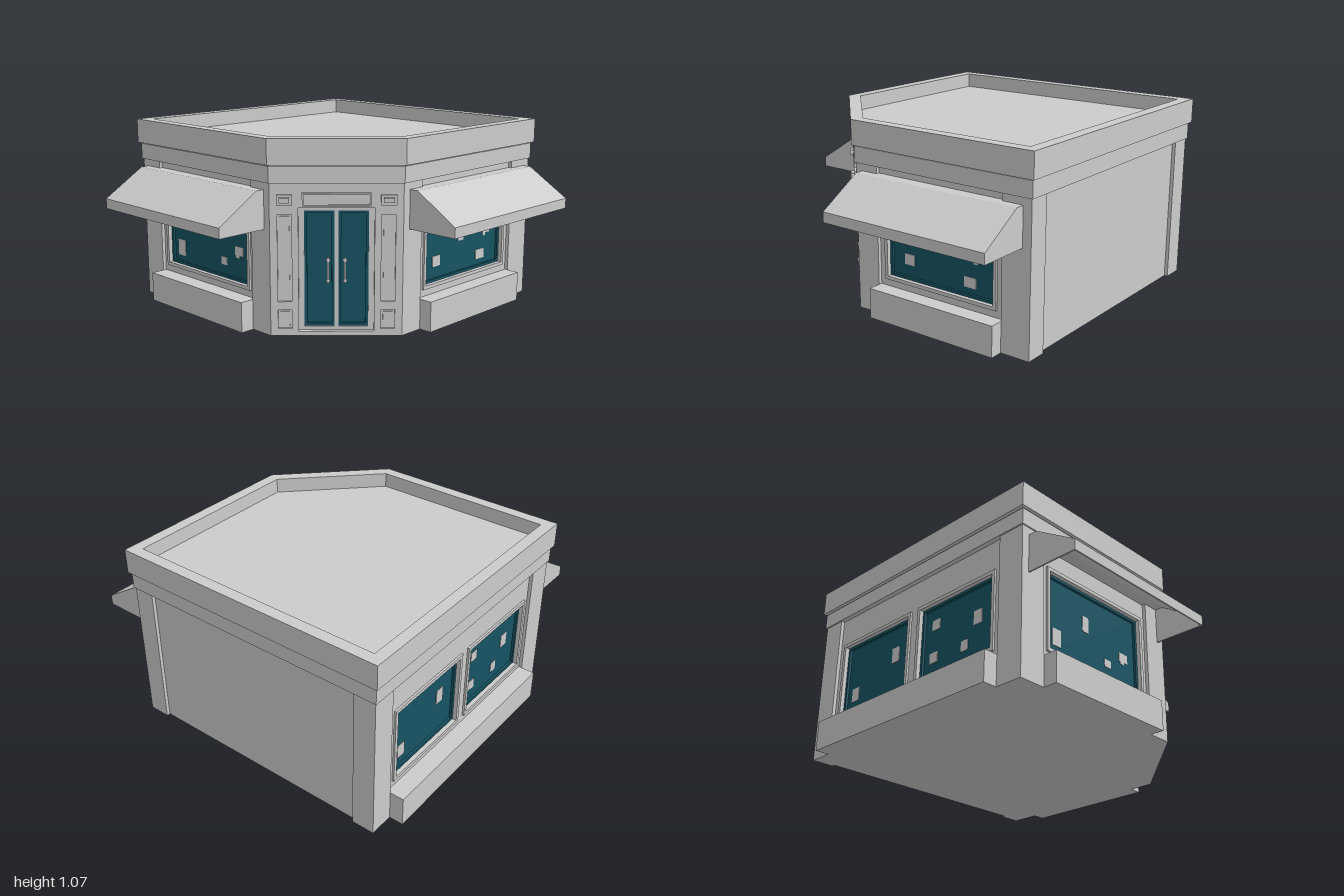
import * as THREE from 'three';

const grey = new THREE.MeshStandardMaterial({ color: 0xcccccc });
const greyThin = new THREE.MeshStandardMaterial({ color: 0xcccccc, side: THREE.DoubleSide });
const teal = new THREE.MeshStandardMaterial({ color: 0x165363 });

function add(parent, name, geometry, material = grey) {
  const mesh = new THREE.Mesh(geometry, material);
  mesh.name = name;
  parent.add(mesh);
  return mesh;
}

function group(parent, name, x = 0, z = 0, turn = 0) {
  const g = new THREE.Group();
  g.name = name;
  g.position.set(x, 0, z);
  g.rotation.y = turn;
  parent.add(g);
  return g;
}

// Facade space: u runs along the wall, y up, w outward from the wall face
function box(parent, name, [u0, u1, y0, y1], w0, w1, material) {
  const geo = new THREE.BoxGeometry(u1 - u0, y1 - y0, w1 - w0);
  geo.translate((u0 + u1) / 2, (y0 + y1) / 2, (w0 + w1) / 2);
  return add(parent, name, geo, material);
}

const rect = ([u0, u1, y0, y1]) =>
  [[u0, y0], [u1, y0], [u1, y1], [u0, y1]].map(p => new THREE.Vector2(...p));
const inset = ([u0, u1, y0, y1], t) => [u0 + t, u1 - t, y0 + t, y1 - t];

function plate(parent, name, outer, holes, w0, w1, material) {
  const shape = new THREE.Shape(rect(outer));
  holes.forEach(h => shape.holes.push(new THREE.Path(rect(h))));
  const geo = new THREE.ExtrudeGeometry(shape, { depth: w1 - w0, bevelEnabled: false });
  geo.translate(0, 0, w0);
  return add(parent, name, geo, material);
}

// Building outline with the cut-off entrance corner, grown by o
function outline(o) {
  const k = o * Math.tan(Math.PI / 8);
  return [
    [-0.92 - o, 0.67 + o], [0.2 + k, 0.67 + o], [0.695 + o, 0.175 + k],
    [0.695 + o, -0.955 - o], [-0.92 - o, -0.955 - o],
  ].map(([x, z]) => new THREE.Vector2(x, -z));
}

function storey(parent, name, o, y0, y1, holeOffset) {
  const shape = new THREE.Shape(outline(o));
  if (holeOffset !== undefined) shape.holes.push(new THREE.Path(outline(holeOffset)));
  const geo = new THREE.ExtrudeGeometry(shape, { depth: y1 - y0, bevelEnabled: false });
  geo.rotateX(-Math.PI / 2).translate(0, y0, 0);
  add(parent, name, geo);
}

// Glass with its coloured edge strip
function pane(parent, name, area) {
  box(parent, name + 'Glass', area, -0.058, -0.046, teal);
  plate(parent, name + 'Edge', area, [inset(area, 0.015)], -0.05, -0.032, teal);
}

function shopWindow(parent, area, posters) {
  plate(parent, 'windowFrame', inset(area, -0.02), [area], -0.058, -0.008);
  pane(parent, 'window', area);
  posters.forEach(p => box(parent, 'poster', p, -0.047, -0.043));
}

// Wall between two piers, with a recessed panel, windows and plinth
function wall(parent, u0, u1, r0, r1, windows, plinth) {
  box(parent, 'pier', [u0, r0, 0, 0.84], -0.07, 0);
  box(parent, 'pier', [r1, u1, 0, 0.84], -0.07, 0);
  plate(parent, 'wallPanel', [r0, r1, 0, 0.84], windows.map(w => w.area), -0.065, -0.02);
  windows.forEach(w => shopWindow(parent, w.area, w.posters));
  if (plinth) box(parent, 'plinth', [r0, r1, 0, 0.17], -0.03, plinth);
}

// Sloping canopy with a short valance and closed cheeks
function awning(parent, u0, u1) {
  const a = group(parent, 'awning');
  const sweep = (name, pts, from, to) => {
    const shape = new THREE.Shape(pts.map(p => new THREE.Vector2(...p)));
    const geo = new THREE.ExtrudeGeometry(shape, { depth: to - from, bevelEnabled: false });
    geo.rotateY(-Math.PI / 2).translate(to, 0, 0);
    add(a, name, geo, greyThin);
  };
  const top = [[-0.02, 0.79], [0.05, 0.79], [0.3, 0.635], [0.3, 0.577]];
  sweep('awningCanopy', [...top, [0.292, 0.577], [0.292, 0.628], [0.048, 0.78], [-0.02, 0.78]], u0, u1);
  for (const u of [u0, u1 - 0.008]) sweep('awningCheek', [...top, [-0.02, 0.577]], u, u + 0.008);
}

function handle(parent, u) {
  const h = group(parent, 'doorHandle', u, 0);
  const bar = new THREE.CylinderGeometry(0.006, 0.006, 0.14, 10);
  add(h, 'handleBar', bar.translate(0, 0.36, -0.012));
  for (const y of [0.305, 0.415]) {
    const mount = new THREE.CylinderGeometry(0.006, 0.006, 0.04, 8);
    add(h, 'handleMount', mount.rotateX(Math.PI / 2).translate(0, y, -0.03));
    const collar = new THREE.CylinderGeometry(0.01, 0.01, 0.016, 10);
    add(h, 'handleCollar', collar.translate(0, y, -0.012));
  }
}

function entrance(parent) {
  const half = 0.35;
  const opening = [-0.2, 0.2, 0.025, 0.7];
  const panels = [];
  for (const s of [-1, 1]) {
    const [a, b] = s < 0 ? [-0.31, -0.235] : [0.235, 0.31];
    panels.push([a, b, 0.04, 0.145], [a, b, 0.19, 0.665]);
    // Wall lamps above the side panels
    box(parent, 'lampBase', [a - 0.004, b + 0.004, 0.715, 0.77], -0.02, 0.01);
    box(parent, 'lampHood', [a + 0.01, b - 0.01, 0.73, 0.757], 0, 0.028);
  }
  plate(parent, 'entranceWall', [-half, half, 0, 0.84], [opening, ...panels], -0.07, 0);
  panels.forEach(p => {
    box(parent, 'sidePanel', p, -0.07, -0.014);
    box(parent, 'sidePanelField', inset(p, 0.012), -0.02, -0.008);
  });
  plate(parent, 'signFrame', [-0.18, 0.18, 0.708, 0.78], [[-0.172, 0.172, 0.716, 0.772]], -0.01, 0.01);

  // Double glazed doors
  const leaves = [[-0.17, -0.01, 0.045, 0.68], [0.01, 0.17, 0.045, 0.68]];
  plate(parent, 'doorFrame', opening, leaves, -0.065, -0.026);
  leaves.forEach(l => pane(parent, 'door', l));
  handle(parent, -0.045);
  handle(parent, 0.045);
}

export function createModel() {
  const model = new THREE.Group();
  model.name = 'cornerShop';

  // Core, fascia, flat roof and parapet
  storey(model, 'core', -0.06, 0, 0.84);
  storey(model, 'fascia', 0.008, 0.83, 0.92);
  storey(model, 'roof', 0, 0.9, 0.98);
  storey(model, 'parapet', 0.022, 0.926, 1.065, -0.045);

  const front = group(model, 'frontWall', 0, 0.67);
  wall(front, -0.92, 0.2, -0.765, 0.055, [{
    area: [-0.71, 0.002, 0.23, 0.66],
    posters: [[-0.66, -0.595, 0.28, 0.375], [-0.43, -0.385, 0.44, 0.53], [-0.26, -0.21, 0.3, 0.345],
      [-0.14, -0.07, 0.375, 0.425], [-0.13, -0.1, 0.36, 0.38]],
  }], 0.08);
  awning(front, -0.875, 0.158);

  const right = group(model, 'sideWallWithAwning', 0.695, 0, Math.PI / 2);
  wall(right, -0.175, 0.955, -0.028, 0.785, [{
    area: [0.03, 0.727, 0.23, 0.66],
    posters: [[0.123, 0.19, 0.31, 0.37], [0.35, 0.4, 0.42, 0.46], [0.52, 0.598, 0.278, 0.335],
      [0.592, 0.643, 0.425, 0.5], [0.58, 0.605, 0.41, 0.445]],
  }], 0.075);
  awning(right, -0.128, 0.905);

  const left = group(model, 'sideWallWithTwoWindows', -0.92, 0, -Math.PI / 2);
  wall(left, -0.955, 0.67, -0.815, 0.51, [{
    area: [-0.755, -0.2, 0.23, 0.64],
    posters: [[-0.7, -0.64, 0.29, 0.37], [-0.36, -0.3, 0.42, 0.51]],
  }, {
    area: [-0.1, 0.45, 0.23, 0.64],
    posters: [[-0.04, 0.02, 0.31, 0.37], [-0.03, 0.03, 0.5, 0.56], [0.2, 0.25, 0.3, 0.36],
      [0.29, 0.35, 0.42, 0.5]],
  }], 0.08);

  const back = group(model, 'backWall', 0, -0.955, Math.PI);
  wall(back, -0.695, 0.92, -0.57, 0.79, []);

  const corner = group(model, 'entrance', 0.4475, 0.4225, Math.PI / 4);
  entrance(corner);

  return model;
}
